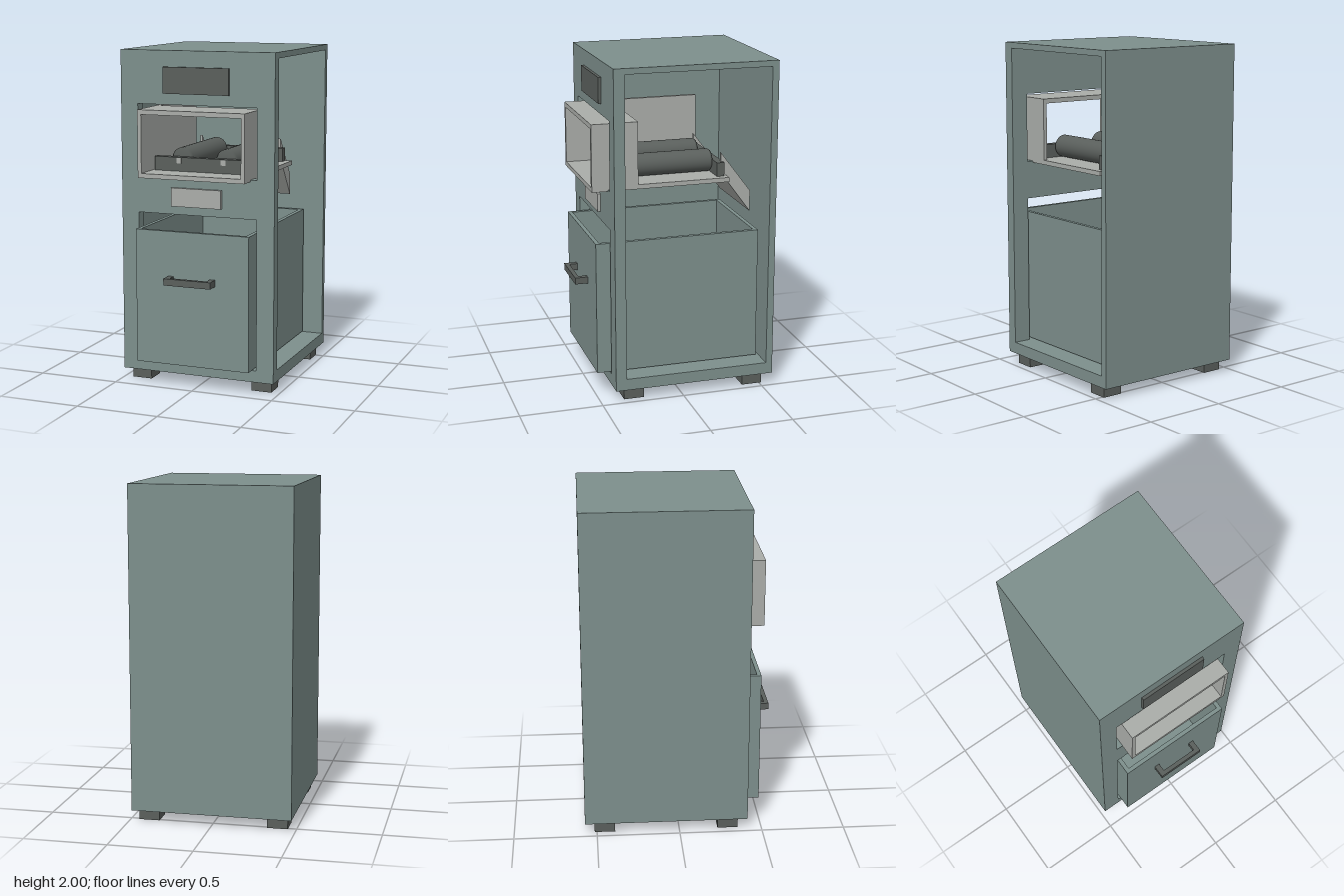
import * as THREE from 'three';

const shell = new THREE.MeshStandardMaterial({ color: 0x7d8f8c });
shell.name = 'grey green';
const pale = new THREE.MeshStandardMaterial({ color: 0xaaada9 });
pale.name = 'pale grey';
const dark = new THREE.MeshStandardMaterial({ color: 0x5a5f5c });
dark.name = 'dark grey';

// Box given by its lower and upper corners
function box(parent, name, material, [x0, y0, z0], [x1, y1, z1]) {
  const mesh = new THREE.Mesh(new THREE.BoxGeometry(x1 - x0, y1 - y0, z1 - z0), material);
  mesh.position.set((x0 + x1) / 2, (y0 + y1) / 2, (z0 + z1) / 2);
  mesh.name = name;
  parent.add(mesh);
  return mesh;
}

// Closed rectangle outline, as a shape or a hole
function rectangle(Type, x0, y0, x1, y1) {
  return new Type([[x0, y0], [x1, y0], [x1, y1], [x0, y1]].map(p => new THREE.Vector2(...p)));
}

function group(parent, name) {
  const g = new THREE.Group();
  g.name = name;
  parent.add(g);
  return g;
}

export function createModel() {
  const model = new THREE.Group();
  model.name = 'cabinetMachine';

  // Cabinet, open on its left side, with two openings in the front
  const cabinet = group(model, 'cabinet');
  const face = rectangle(THREE.Shape, -0.48, 0.07, 0.48, 2);
  face.holes.push(
    rectangle(THREE.Path, -0.373, 1.27, 0.373, 1.685),
    rectangle(THREE.Path, -0.373, 0.14, 0.373, 1.04)
  );
  const front = new THREE.Mesh(new THREE.ExtrudeGeometry(face, { depth: 0.065, bevelEnabled: false }), shell);
  front.position.z = 0.348;
  front.name = 'frontPanel';
  cabinet.add(front);
  box(cabinet, 'backPanel', shell, [-0.48, 0.07, -0.572], [0.48, 2, -0.532]);
  box(cabinet, 'rightPanel', shell, [-0.48, 0.14, -0.532], [-0.44, 1.965, 0.348]);
  box(cabinet, 'topPanel', shell, [-0.48, 1.965, -0.532], [0.48, 2, 0.348]);
  box(cabinet, 'floorPanel', shell, [-0.48, 0.07, -0.532], [0.48, 0.14, 0.348]);

  // Feet
  for (const x of [-0.387, 0.387])
    for (const z of [-0.452, 0.295])
      box(model, 'foot', dark, [x - 0.062, 0, z - 0.062], [x + 0.062, 0.07, z + 0.062]);

  // Plates on the front
  box(model, 'displayPanel', dark, [-0.204, 1.75, 0.413], [0.204, 1.905, 0.431]);
  box(model, 'labelPlate', pale, [-0.157, 1.09, 0.413], [0.157, 1.2, 0.431]);

  // Open-topped drawer bin with handle
  const bin = group(model, 'bin');
  const t = 0.025;
  box(bin, 'binFloor', shell, [-0.355, 0.148, -0.51], [0.355, 0.148 + t, 0.495]);
  box(bin, 'binFront', shell, [-0.355, 0.148 + t, 0.495 - t], [0.355, 0.953, 0.495]);
  box(bin, 'binBack', shell, [-0.355, 0.148 + t, -0.51], [0.355, 0.953, -0.51 + t]);
  for (const s of [-1, 1]) {
    const side = box(bin, 'binSide', shell, [0.355 - t, 0.148 + t, -0.51 + t], [0.355, 0.953, 0.495 - t]);
    side.position.x *= s;
    const leg = box(bin, 'handleLeg', dark, [0.115, 0.645, 0.495], [0.147, 0.685, 0.546]);
    leg.position.x *= s;
  }
  box(bin, 'handleBar', dark, [-0.147, 0.645, 0.546], [0.147, 0.685, 0.572]);

  // Feed hopper: full collar in front, cut away on top and left behind it
  const hopper = group(model, 'hopper');
  box(hopper, 'hopperFloor', pale, [-0.333, 1.26, -0.33], [0.333, 1.287, 0.508]);
  box(hopper, 'hopperTop', pale, [-0.333, 1.632, 0.23], [0.333, 1.66, 0.508]);
  box(hopper, 'hopperLeftWall', pale, [0.31, 1.287, 0.23], [0.333, 1.632, 0.508]);
  box(hopper, 'hopperRightWall', pale, [-0.333, 1.287, 0.23], [-0.31, 1.632, 0.508]);
  box(hopper, 'hopperRightWallRear', pale, [-0.333, 1.287, -0.33], [-0.31, 1.66, 0.23]);

  // Two rollers on shafts between bearing bars
  const rollers = group(model, 'rollers');
  box(rollers, 'frontBar', dark, [-0.297, 1.287, 0.3], [0.293, 1.37, 0.345]);
  box(rollers, 'rearBar', dark, [-0.297, 1.287, -0.312], [0.293, 1.37, -0.267]);
  const profile = [[0, -0.27], [0.058, -0.27], [0.068, -0.255], [0.068, 0.285], [0.058, 0.3], [0, 0.3]];
  const rollerShape = new THREE.LatheGeometry(profile.map(p => new THREE.Vector2(...p)), 48);
  rollerShape.rotateX(Math.PI / 2);
  for (const x of [-0.14, 0.14]) {
    const roller = new THREE.Mesh(rollerShape, dark);
    roller.position.set(x, 1.355, 0);
    roller.name = 'roller';
    rollers.add(roller);
    box(rollers, 'shaft', pale, [x - 0.015, 1.335, 0.29], [x + 0.015, 1.366, 0.352]);
  }

  // Sloping outlet chute with side cheeks
  const chute = group(model, 'chute');
  const extrudeAcross = (name, points, x0, x1) => {
    // Outline in (z, y), drawn as (-z, y) and turned to run along x
    const shape = new THREE.Shape(points.map(([z, y]) => new THREE.Vector2(-z, y)));
    const geometry = new THREE.ExtrudeGeometry(shape, { depth: x1 - x0, bevelEnabled: false });
    geometry.rotateY(Math.PI / 2).translate(x0, 0, 0);
    const mesh = new THREE.Mesh(geometry, pale);
    mesh.name = name;
    chute.add(mesh);
  };
  extrudeAcross('chuteFloor', [[-0.33, 1.26], [-0.33, 1.287], [-0.485, 1.078], [-0.485, 1.05]], -0.265, 0.265);
  const cheek = [[-0.298, 1.425], [-0.298, 1.3], [-0.33, 1.26], [-0.485, 1.05], [-0.485, 1.178]];
  extrudeAcross('chuteCheek', cheek, -0.27, -0.254);
  extrudeAcross('chuteCheek', cheek, 0.254, 0.27);

  return model;
}
